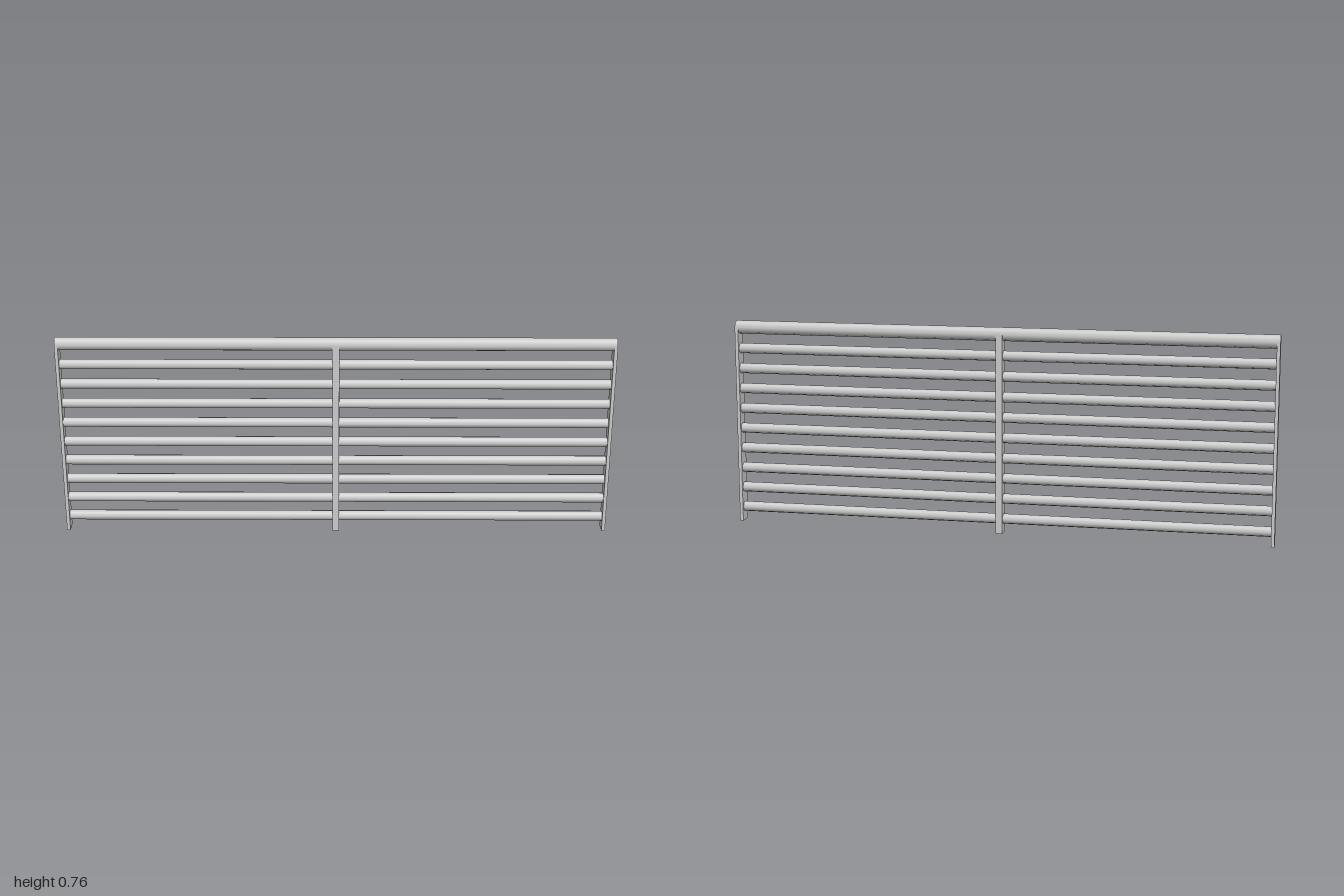
import * as THREE from 'three';

export function createModel() {
  const group = new THREE.Group();
  const material = new THREE.MeshStandardMaterial({ color: 0xcccccc });
  const railY = 0.735;

  const add = (name, geometry, x, y) => {
    const mesh = new THREE.Mesh(geometry, material);
    mesh.name = name;
    mesh.position.set(x, y, 0);
    group.add(mesh);
  };

  // Horizontal eight-sided bar with a ridge along its top
  const bar = (radius, length) =>
    new THREE.CylinderGeometry(radius, radius, length, 8).rotateZ(Math.PI / 2);

  // Flat uprights: a thin one at each end, a thicker one in the middle
  const post = (name, x, width) =>
    add(name, new THREE.BoxGeometry(width, railY, 0.05), x, railY / 2);
  post('leftPost', 0.9937, 0.0125);
  post('rightPost', -0.9937, 0.0125);
  post('middlePost', 0, 0.025);

  // Rounded handrail over the posts
  add('topRail', bar(0.025, 2), 0, railY);

  // Thinner bars between the posts on both sides
  for (const side of [-1, 1]) {
    for (let i = 0; i < 9; i++) {
      add(`${side > 0 ? 'left' : 'right'}Bar${i + 1}`, bar(0.019, 0.975), side * 0.5, 0.052 + i * 0.0755);
    }
  }

  return group;
}
